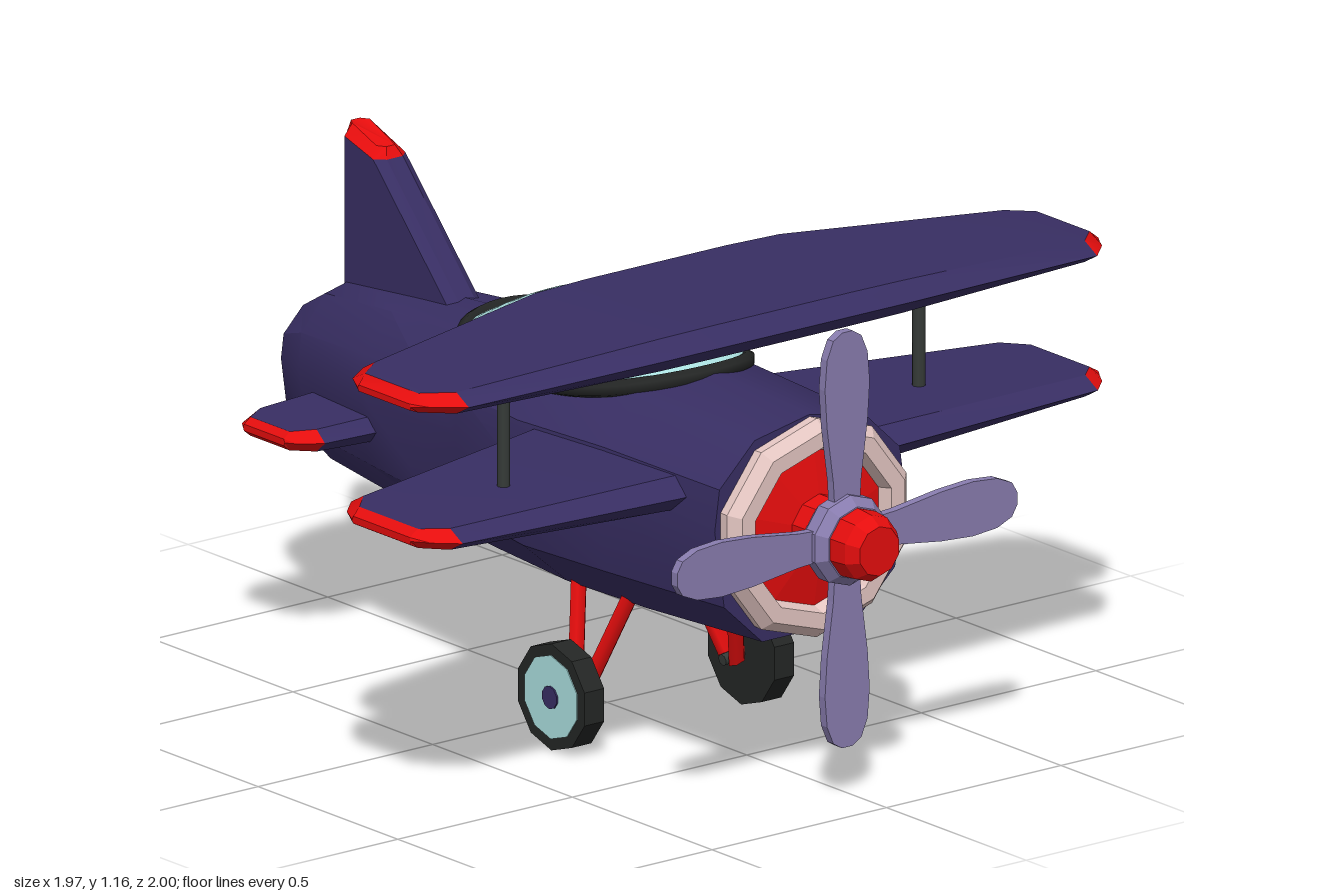
import * as THREE from 'three';
import { toCreasedNormals } from 'three/addons/utils/BufferGeometryUtils.js';

const mat = (name, color) => {
  const m = new THREE.MeshStandardMaterial({ color });
  m.name = name;
  return m;
};

// Skin a list of rings (counter-clockwise seen from the far end); pick() chooses the material slot
function loft(rings, crease, pick = () => 0) {
  const slots = [[], []];
  const n = rings[0].length;
  const tri = (s, ...pts) => pts.forEach(p => slots[s].push(...p));
  for (let i = 0; i < rings.length - 1; i++) {
    for (let j = 0; j < n; j++) {
      const k = (j + 1) % n;
      const a = rings[i][j], b = rings[i][k], c = rings[i + 1][k], d = rings[i + 1][j];
      tri(pick(i, j), a, b, c);
      tri(pick(i, j), a, c, d);
    }
  }
  const first = rings[0], last = rings[rings.length - 1];
  for (let j = 1; j < n - 1; j++) {
    tri(pick(0, -1), first[0], first[j + 1], first[j]);
    tri(pick(rings.length - 2, -1), last[0], last[j], last[j + 1]);
  }
  const g = new THREE.BufferGeometry();
  g.setAttribute('position', new THREE.Float32BufferAttribute([...slots[0], ...slots[1]], 3));
  g.addGroup(0, slots[0].length / 3, 0);
  g.addGroup(slots[0].length / 3, slots[1].length / 3, 1);
  return toCreasedNormals(g, crease);
}

// Faceted turned shape around the z axis, profile as [radius, z]
function turned(profile, sides) {
  const g = new THREE.LatheGeometry(profile.map(p => new THREE.Vector2(...p)), sides).toNonIndexed();
  g.computeVertexNormals();
  return g.rotateX(Math.PI / 2);
}

export function createModel() {
  const navy = mat('navyPaint', 0x382e63);
  const red = mat('redPaint', 0xe50d0d);
  const cream = mat('cowlPink', 0xe4c6c2);
  const lavender = mat('propellerLavender', 0x887cae);
  const glass = mat('paleGlass', 0xabe0e0);
  const rubber = mat('blackRubber', 0x242625);
  const steel = mat('darkSteel', 0x363b38);

  const model = new THREE.Group();
  const body = new THREE.Group();
  body.name = 'body';
  body.position.x = -0.02;
  model.add(body);
  const add = (parent, name, geometry, material) => {
    const m = new THREE.Mesh(geometry, material);
    m.name = name;
    parent.add(m);
    return m;
  };
  const rod = (parent, name, a, b, r, material, sides = 8) => {
    const from = new THREE.Vector3(...a), to = new THREE.Vector3(...b);
    const m = add(parent, name, new THREE.CylinderGeometry(r, r, from.distanceTo(to), sides), material);
    m.position.copy(from).lerp(to, 0.5);
    m.quaternion.setFromUnitVectors(new THREE.Vector3(0, 1, 0), to.sub(from).normalize());
    return m;
  };

  // Fuselage: stations are [z, halfWidth, top, bottom]
  const half = [[0.5, -1], [0.9, -0.6], [1, 0.12], [0.95, 0.5], [0.58, 0.88]];
  const section = [...half, [0, 1], ...half.map(([x, y]) => [-x, y]).reverse()];
  const stations = [
    [-1, 0.01, 0.6, 0.58], [-0.955, 0.15, 0.735, 0.44], [-0.85, 0.185, 0.8, 0.385],
    [-0.6, 0.205, 0.825, 0.36], [-0.35, 0.235, 0.845, 0.345], [-0.2, 0.257, 0.86, 0.34],
    [0.08, 0.315, 0.88, 0.34], [0.35, 0.29, 0.88, 0.34], [0.75, 0.272, 0.865, 0.358],
  ];
  add(body, 'fuselage', loft(stations.map(([z, w, t, b]) =>
    section.map(([x, y]) => [x * w, (t + b) / 2 + y * (t - b) / 2, z])), 0.6), navy);

  // Canopy and its rim
  const rim = t => ({
    z: 0.02 + 0.375 * t,
    w: 0.235 * Math.sqrt(Math.max(0, 1 - Math.abs(t) ** 3)),
    y: 0.815 + 0.045 * t * t + 0.015 * t,
  });
  const arches = [], left = [], right = [];
  for (let i = 0; i <= 20; i++) {
    const t = Math.sin((i / 10 - 1) * Math.PI / 2);
    const { z, w, y } = rim(t);
    const h = 0.165 * Math.max(0, 1 - t * t) ** 1.15;
    arches.push(Array.from({ length: 17 }, (_, j) => {
      const a = j / 16 * Math.PI;
      return [w * Math.cos(a), y + h * Math.sin(a), z];
    }));
    left.push(new THREE.Vector3(w, y, z));
    if (i > 0 && i < 20) right.unshift(new THREE.Vector3(-w, y, z));
  }
  add(body, 'canopy', loft(arches, 1), glass);
  add(body, 'canopyRim', new THREE.TubeGeometry(
    new THREE.CatmullRomCurve3([...left, ...right], true), 60, 0.02, 6, true), rubber);

  // Wings and tailplane: right-hand stations are [x, lead, trail, top, bottom], bevelled edges, red tips
  function wing(parent, name, list, inset) {
    const ring = ([x, lead, trail, top, bot], i) => {
      const e = i === 0 ? 0.004 : inset, m = (top + bot) / 2;
      return [[x, top, trail + e], [x, top, lead - e], [x, m, lead],
        [x, bot, lead - e], [x, bot, trail + e], [x, m, trail]];
    };
    const outer = list.map(ring);
    const mirrored = outer.map(r => r.map(([x, y, z]) => [-x, y, z]));
    const rings = [...mirrored, ...outer.reverse()];
    const lastSeg = rings.length - 2;
    const pick = (i, j) => {
      const k = Math.min(i, lastSeg - i);
      return k === 0 || (k === 1 && j % 3 !== 0) ? 1 : 0;
    };
    add(parent, name, loft(rings, 0.4, pick), [navy, red]);
  }
  wing(model, 'upperWing', [
    [0.987, 0.53, 0.34, 1.025, 1.01], [0.962, 0.57, 0.29, 1.045, 1.0], [0.9, 0.63, 0.25, 1.05, 1.0],
    [0.35, 0.665, 0.135, 1.074, 0.998], [0.2, 0.667, 0.13, 1.076, 0.998],
  ], 0.045);
  wing(model, 'lowerWing', [
    [0.987, 0.53, 0.32, 0.712, 0.695], [0.962, 0.57, 0.27, 0.727, 0.682], [0.91, 0.62, 0.22, 0.73, 0.68],
    [0.3, 0.645, 0.085, 0.737, 0.658],
  ], 0.045);
  wing(body, 'tailplane', [
    [0.407, -0.62, -0.77, 0.548, 0.532], [0.39, -0.595, -0.795, 0.562, 0.518],
    [0.34, -0.56, -0.822, 0.566, 0.514], [0.1, -0.545, -0.835, 0.572, 0.508],
  ], 0.03);

  // Tail fin with a red cap; the top slopes down towards the front
  const finRing = (front, back, w, yFront, yBack) => {
    const c = 0.02;
    return [[0.5, 0], [1, c], [1, -c], [0.5, 0], [-0.5, 0], [-1, -c], [-1, c], [-0.5, 0]].map(([x, dz], i) => {
      const atFront = i < 2 || i > 5;
      return [x * w, atFront ? yFront : yBack, (atFront ? front : back) - (atFront ? Math.abs(dz) : -Math.abs(dz))];
    });
  };
  add(body, 'tailFin', loft([
    finRing(-0.44, -0.878, 0.046, 0.79, 0.76),
    finRing(-0.735, -0.878, 0.046, 1.1, 1.13),
    finRing(-0.75, -0.876, 0.025, 1.125, 1.157),
  ], 0.4, i => i), [navy, red]);

  // Cowl ring, engine face, spinner and propeller
  const nose = new THREE.Group();
  nose.name = 'nose';
  nose.position.y = 0.605;
  body.add(nose);
  const cowl = add(nose, 'cowlRing', turned(
    [[0.268, 0.745], [0.27, 0.775], [0.245, 0.8], [0.205, 0.8], [0.19, 0.755]], 10), cream);
  cowl.scale.y = 0.95;
  add(nose, 'engineFace', turned([[0.2, 0.765], [0.08, 0.785], [0, 0.785]], 10), red).scale.y = 0.95;
  add(nose, 'spinner', turned(
    [[0.082, 0.77], [0.082, 0.93], [0.078, 0.97], [0.058, 1], [0, 1]], 10), red);
  add(nose, 'propellerHub', turned(
    [[0.07, 0.832], [0.085, 0.835], [0.106, 0.86], [0.106, 0.895], [0.085, 0.92], [0.07, 0.922]], 10), lavender);
  const edge = [[0.035, 0.06], [0.04, 0.14], [0.058, 0.27], [0.064, 0.36], [0.058, 0.43], [0.04, 0.472], [0.015, 0.487]];
  const blade = new THREE.Shape([...edge, ...edge.map(([x, y]) => [-x, y]).reverse()]
    .map(p => new THREE.Vector2(...p)));
  const bladeGeometry = new THREE.ExtrudeGeometry(blade, { depth: 0.022, bevelEnabled: false }).translate(0, 0, 0.863);
  for (let i = 0; i < 4; i++) add(nose, 'propellerBlade', bladeGeometry, lavender).rotation.z = i * Math.PI / 2;

  // Wing struts and landing gear, mirrored
  for (const s of [-1, 1]) {
    rod(body, 'wingStrut', [s * 0.595 - 0.01, 0.7, 0.41], [s * 0.595 - 0.01, 1.03, 0.41], 0.015, steel);
    const gear = new THREE.Group();
    gear.name = s > 0 ? 'leftLandingGear' : 'rightLandingGear';
    body.add(gear);
    for (const d of [-1, 1]) {
      const leg = rod(gear, 'gearLeg', [s * 0.14, 0.38, 0.2 + d * 0.1], [s * 0.222, 0.11, 0.2 + d * 0.012], 0.024, red, 6);
      leg.scale.set(0.55, 1, 1);
    }
    rod(gear, 'axle', [s * 0.19, 0.115, 0.2], [s * 0.26, 0.125, 0.2], 0.014, steel);
    const disc = (name, x0, x1, r, material) => {
      const g = new THREE.CylinderGeometry(r, r, x1 - x0, 10).toNonIndexed();
      g.computeVertexNormals();
      const m = add(gear, name, g.rotateZ(Math.PI / 2), material);
      m.position.set(s * (x0 + x1) / 2, 0.125, 0.2);
      m.rotation.x = Math.PI / 10;
    };
    disc('tyre', 0.244, 0.3, 0.125, rubber);
    disc('wheelDisc', 0.29, 0.302, 0.098, glass);
    disc('wheelCap', 0.29, 0.306, 0.027, navy);
  }
  return model;
}
